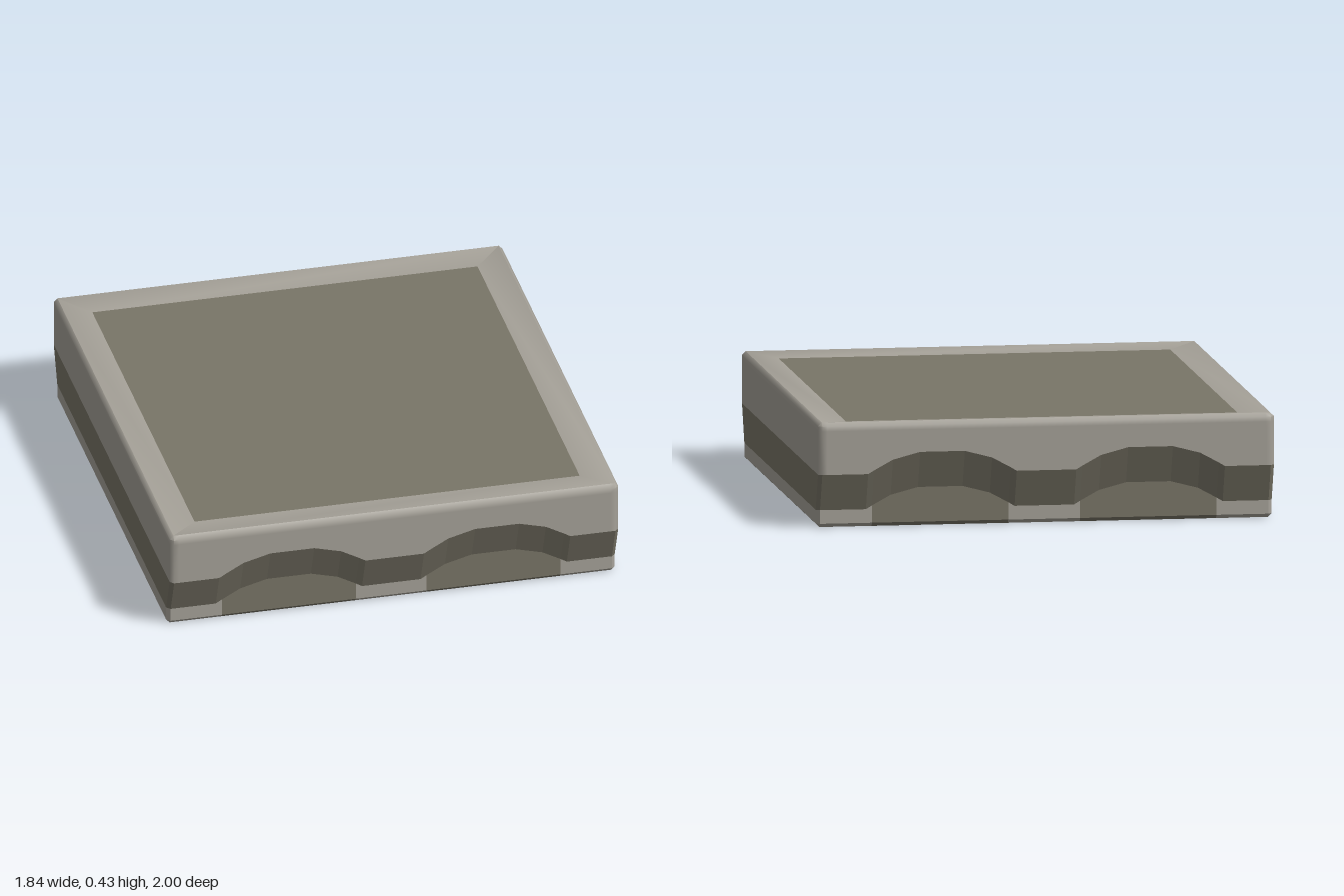
import * as THREE from 'three';
import { toCreasedNormals } from 'three/addons/utils/BufferGeometryUtils.js';

const HALF_W = 0.92, HEIGHT = 0.43, BEVEL = 0.015, ARCH_X = 0.42, ARCH_HALF = 0.275;

// Raised outline of one arch: [distance from the arch centre, rise]
const ARCH = [[0.3, 0], [ARCH_HALF, 0.015], [0.2, 0.056], [0.09, 0.085]];

// Stations across the width: [x, rise]
function makeStations() {
  const half = [];
  for (const [d, r] of ARCH) half.push([ARCH_X - d, r]);
  for (const [d, r] of [...ARCH].reverse()) half.push([ARCH_X + d, r]);
  half.push([HALF_W - 0.035, 0], [HALF_W - BEVEL, 0], [HALF_W, 0]);
  return [...half.map(([x, r]) => [-x, r]).reverse(), ...half];
}

// Front profile at a station, from the underside up to the rim
function profile([x, rise]) {
  const end = Math.abs(x) === HALF_W;
  return [
    [0, 0.925], [BEVEL, 0.94], [0.07 + rise, 0.94], [0.22 + rise, 1],
    [0.395, 1], [HEIGHT - BEVEL, 1], [HEIGHT, 0.985],
  ].map(([y, z], j) => [
    x,
    end ? Math.min(Math.max(y, BEVEL), HEIGHT - BEVEL) : y,
    end && j > 0 && j < 6 ? z - BEVEL : z,
  ]);
}

// Collects four-cornered faces, corners counter-clockwise from outside
class Faces {
  constructor() { this.points = []; }
  quad(a, b, c, d, flip = false) {
    const list = flip ? [a, c, b, a, d, c] : [a, b, c, a, c, d];
    for (const p of list) this.points.push(...p);
  }
  mesh(name, material, crease) {
    let geometry = new THREE.BufferGeometry();
    geometry.setAttribute('position', new THREE.Float32BufferAttribute(this.points, 3));
    geometry.computeVertexNormals();
    if (crease) geometry = toCreasedNormals(geometry, crease);
    const mesh = new THREE.Mesh(geometry, material);
    mesh.name = name;
    return mesh;
  }
}

export function createModel() {
  const lightStone = new THREE.MeshStandardMaterial({ color: 0xa5a198 });
  lightStone.name = 'lightStone';
  const darkStone = new THREE.MeshStandardMaterial({ color: 0x797567 });
  darkStone.name = 'darkStone';

  const shell = new Faces(), recess = new Faces(), feet = new Faces();
  const arches = new Faces(), underside = new Faces(), panel = new Faces();

  const back = ([x, y, z]) => [x, y, -z];
  const stations = makeStations();
  const rows = stations.map(profile);
  const last = rows.length - 1;

  // Front and back walls, underside and bevelled end edges
  for (let i = 0; i < last; i++) {
    const p = rows[i], q = rows[i + 1];
    const middle = Math.abs((p[0][0] + q[0][0]) / 2);
    const inArch = Math.abs(middle - ARCH_X) < ARCH_HALF;
    for (let j = 0; j < 6; j++) {
      const target = j < 2 ? (inArch ? arches : feet) : j === 2 ? recess : shell;
      const corners = [p[j], q[j], q[j + 1], p[j + 1]];
      target.quad(...corners);
      target.quad(...corners.map(back), true);
    }
    underside.quad(p[0], back(p[0]), back(q[0]), q[0]);
    if (i === 0 || i === last - 1) shell.quad(p[6], q[6], back(q[6]), back(p[6]));
  }

  // Flat side walls with the dark band
  for (const [row, flip] of [[rows[0], true], [rows[last], false]]) {
    for (let j = 1; j < 5; j++) {
      const target = j === 1 ? feet : j === 2 ? recess : shell;
      target.quad(row[j], back(row[j]), back(row[j + 1]), row[j + 1], flip);
    }
  }

  // Rim sloping inward to the sunken top panel
  const ring = (x, y, z) => [[-x, y, z], [x, y, z], [x, y, -z], [-x, y, -z]];
  const outer = ring(HALF_W - BEVEL, HEIGHT, 0.985);
  const inner = ring(0.79, HEIGHT - 0.015, 0.868);
  for (let k = 0; k < 4; k++) {
    const n = (k + 1) % 4;
    shell.quad(outer[k], outer[n], inner[n], inner[k]);
  }
  panel.quad(...inner);

  const group = new THREE.Group();
  group.name = 'stoneSlab';
  group.add(
    shell.mesh('upperShell', lightStone, 0.9),
    feet.mesh('baseFeet', lightStone),
    recess.mesh('recessBand', darkStone),
    arches.mesh('archPanels', darkStone),
    underside.mesh('underside', darkStone),
    panel.mesh('topPanel', darkStone),
  );
  return group;
}
